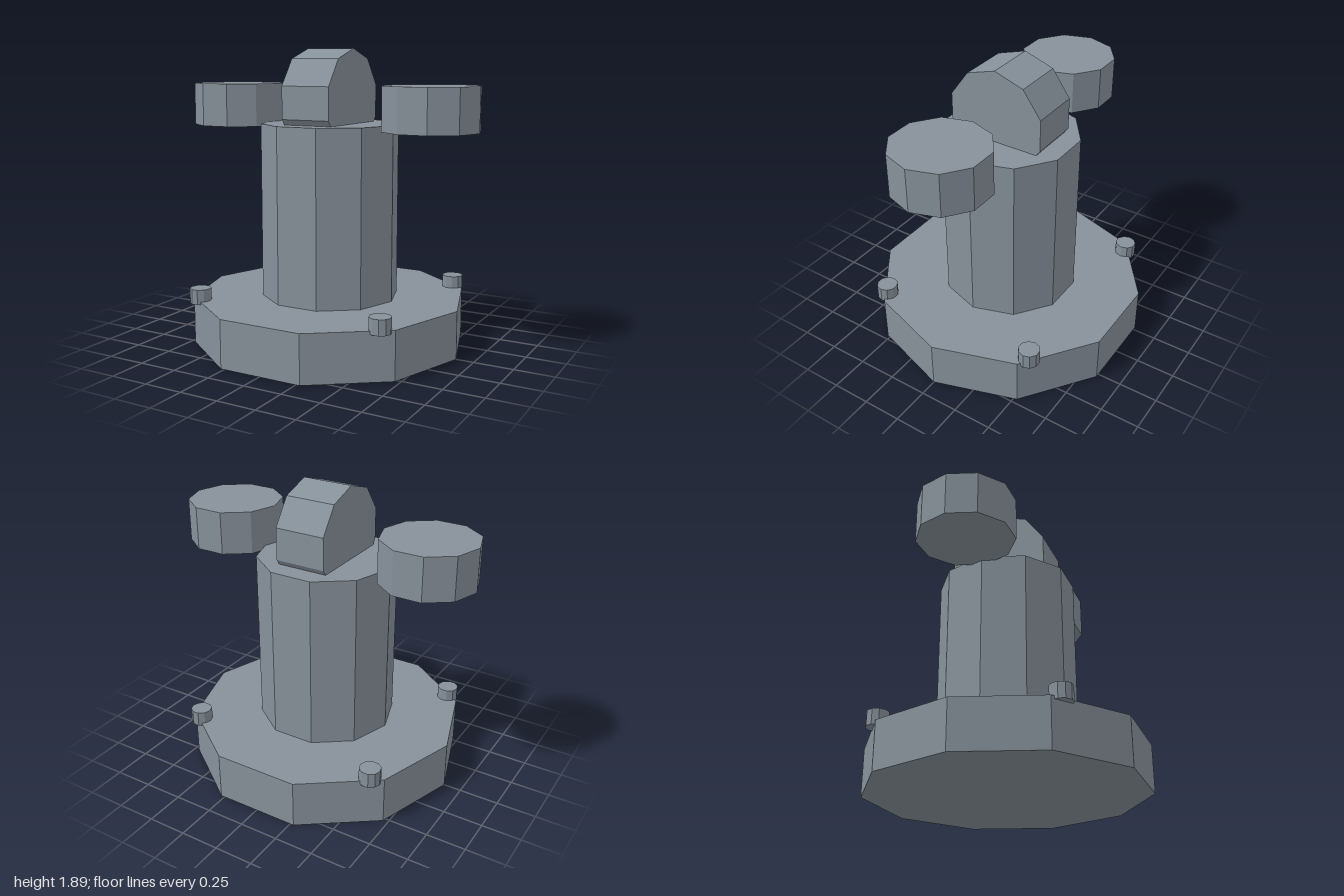
import * as THREE from 'three';

export function createModel() {
  const group = new THREE.Group();
  const steel = new THREE.MeshStandardMaterial({ color: 0x87919a, flatShading: true });
  steel.name = 'steel grey';

  // Ten-sided drum standing on height y0, with a corner pointing along +x
  function drum(name, radius, y0, y1, x = 0, z = 0) {
    const geometry = new THREE.CylinderGeometry(radius, radius, y1 - y0, 10, 1, false, Math.PI / 2);
    const mesh = new THREE.Mesh(geometry, steel);
    mesh.name = name;
    mesh.position.set(x, (y0 + y1) / 2, z);
    group.add(mesh);
    return mesh;
  }

  // Base plate and column
  drum('base', 0.887, 0, 0.305);
  drum('column', 0.443, 0.305, 1.42);

  // Upright wheel sunk into the column top, its axle along x
  const wheel = drum('topWheel', 0.332, 0, 0.33);
  wheel.rotation.z = Math.PI / 2;
  wheel.position.set(0, 1.558, 0);

  // Side discs and the four bolts on the base rim
  for (const side of [1, -1]) {
    drum(side > 0 ? 'leftDisc' : 'rightDisc', 0.305, 1.392, 1.667, side * 0.695);
    for (const end of [1, -1]) {
      const name = (end > 0 ? 'front' : 'back') + (side > 0 ? 'Left' : 'Right') + 'Bolt';
      drum(name, 0.068, 0.287, 0.383, side * 0.637, end * 0.555);
    }
  }

  return group;
}
